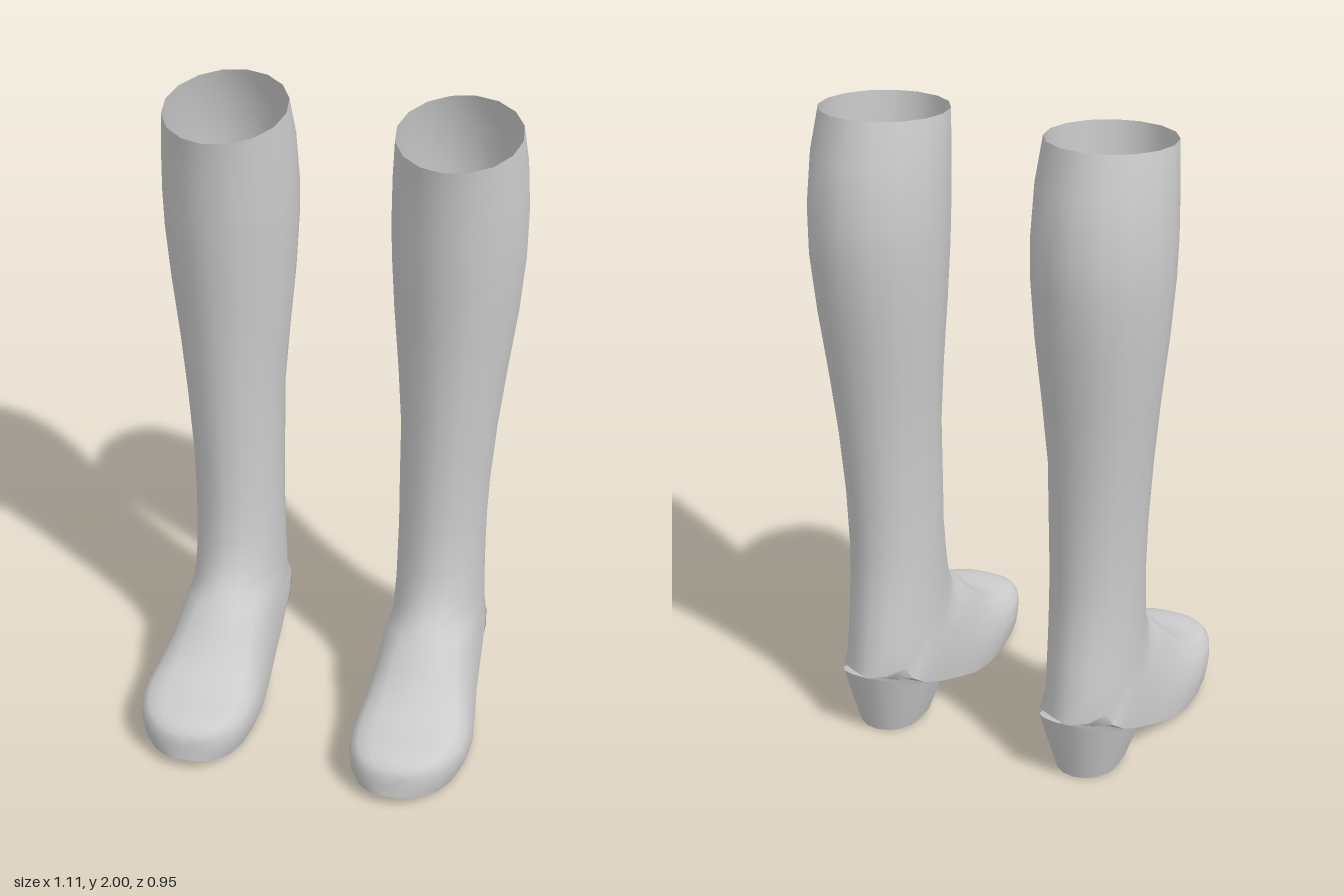
import * as THREE from 'three';
import { toCreasedNormals } from 'three/addons/utils/BufferGeometryUtils.js';

// Skin closed cross-sections listed from top to bottom (or heel to toe), with an optional end cap
function loft(rings, cap) {
  const n = rings[0].length;
  const pos = rings.flat(2);
  const idx = [];
  for (let i = 0; i < rings.length - 1; i++) {
    for (let k = 0; k < n; k++) {
      const a = i * n + k, b = i * n + (k + 1) % n;
      idx.push(a, a + n, b, b, a + n, b + n);
    }
  }
  if (cap) {
    const last = rings[rings.length - 1];
    const base = (rings.length - 1) * n;
    pos.push(...[0, 1, 2].map(j => last.reduce((s, p) => s + p[j], 0) / n));
    for (let k = 0; k < n; k++) idx.push(rings.length * n, base + (k + 1) % n, base + k);
  }
  const g = new THREE.BufferGeometry();
  g.setAttribute('position', new THREE.Float32BufferAttribute(pos, 3));
  g.setIndex(idx);
  return toCreasedNormals(g, 0.95);
}

// Shaft sections: front z, front y, back z, back y, centre x, half width
const SHAFT = [
  [0.03, 1.96, -0.405, 2.0, 0.35, 0.185],
  [0.018, 1.84, -0.45, 1.87, 0.351, 0.197],
  [0.008, 1.7, -0.475, 1.7, 0.352, 0.203],
  [0, 1.58, -0.475, 1.58, 0.352, 0.201],
  [-0.018, 1.4, -0.452, 1.4, 0.35, 0.189],
  [-0.028, 1.2, -0.425, 1.2, 0.347, 0.168],
  [-0.03, 1.0, -0.402, 1.0, 0.344, 0.15],
  [-0.03, 0.8, -0.39, 0.8, 0.337, 0.142],
  [-0.025, 0.65, -0.386, 0.62, 0.335, 0.138],
  [-0.01, 0.53, -0.395, 0.5, 0.334, 0.138],
  [0.01, 0.45, -0.412, 0.4, 0.334, 0.138],
];

// Foot sections: top z, top y, sole z, sole y, centre x, half width, sole flatness
const FOOT = [
  [0.035, 0.41, -0.428, 0.3, 0.334, 0.14, 0],
  [0.06, 0.38, -0.44, 0.22, 0.334, 0.141, 0.05],
  [0.085, 0.35, -0.39, 0.197, 0.334, 0.143, 0.6],
  [0.12, 0.31, -0.31, 0.16, 0.335, 0.147, 0.9],
  [0.155, 0.272, -0.2, 0.11, 0.337, 0.152, 1],
  [0.19, 0.237, -0.08, 0.06, 0.34, 0.162, 1],
  [0.235, 0.203, 0.03, 0.018, 0.344, 0.174, 1],
  [0.28, 0.182, 0.13, 0.002, 0.346, 0.183, 1],
  [0.33, 0.168, 0.23, 0.002, 0.345, 0.181, 1],
  [0.375, 0.167, 0.32, 0.008, 0.341, 0.168, 1],
  [0.415, 0.162, 0.39, 0.018, 0.337, 0.144, 1],
  [0.445, 0.15, 0.437, 0.03, 0.333, 0.112, 1],
  [0.464, 0.135, 0.466, 0.037, 0.331, 0.075, 1],
  [0.474, 0.12, 0.48, 0.04, 0.33, 0.035, 1],
];

// Lower half of a flat-soled section: position along the height, across the width
const SOLE = [[-0.5, 1], [-1, 0.93], [-1, 0.5], [-1, 0]];

// An ellipse whose lower half flattens into a sole as `flat` goes from 0 to 1
function bootSection([tz, ty, bz, by, cx, hw, flat = 0], side) {
  const ring = [];
  const e = 1 - 0.35 * flat;
  for (let k = 0; k < 16; k++) {
    const a = k * Math.PI / 8;
    const sgn = k <= 8 ? 1 : -1;
    const m = k <= 8 ? k : 16 - k;
    let u = Math.cos(a), v = Math.abs(Math.sin(a));
    if (m > 4) {
      const [su, sv] = SOLE[m - 5];
      u = THREE.MathUtils.lerp(u, su, flat);
      v = THREE.MathUtils.lerp(v, sv, flat);
    } else {
      u = Math.pow(Math.max(u, 0), e);
      v = Math.pow(v, e);
    }
    const t = (1 + u) / 2;
    ring.push([side * cx + sgn * v * hw, by + (ty - by) * t, bz + (tz - bz) * t]);
  }
  return ring;
}

// Heel section: straight breast at the front, rounded back
function heelSection(t, side) {
  const hw = THREE.MathUtils.lerp(0.137, 0.097, t);
  const back = THREE.MathUtils.lerp(-0.44, -0.378, t);
  const front = -0.2;
  const mid = front + (back - front) * 0.4;
  const plan = [[0, front], [hw, front]];
  for (let k = 0; k <= 8; k++) {
    const a = k * Math.PI / 8;
    plan.push([hw * Math.cos(a), mid + (back - mid) * Math.sin(a)]);
  }
  plan.push([-hw, front]);
  return plan.map(([x, z]) => {
    const seat = 0.112 + (front - z) * 0.45;
    return [side * 0.335 + x, seat * (1 - t), z];
  });
}

function createBoot(side, material) {
  const boot = new THREE.Group();
  boot.name = side > 0 ? 'leftBoot' : 'rightBoot';

  // Leg and foot in one continuous skin, open at the top
  const upper = new THREE.Mesh(
    loft([...SHAFT, ...FOOT].map(s => bootSection(s, side)), true), material);
  upper.name = 'shaftAndFoot';

  // Tapered block heel
  const heel = new THREE.Mesh(
    loft([0, 0.5, 1].map(t => heelSection(t, side)), true), material);
  heel.name = 'heel';

  boot.add(upper, heel);
  return boot;
}

export function createModel() {
  const leather = new THREE.MeshStandardMaterial({ color: 0xcccccc, side: THREE.DoubleSide });
  leather.name = 'paleGreyLeather';
  const model = new THREE.Group();
  model.name = 'pairOfBoots';
  for (const side of [1, -1]) model.add(createBoot(side, leather));
  return model;
}
